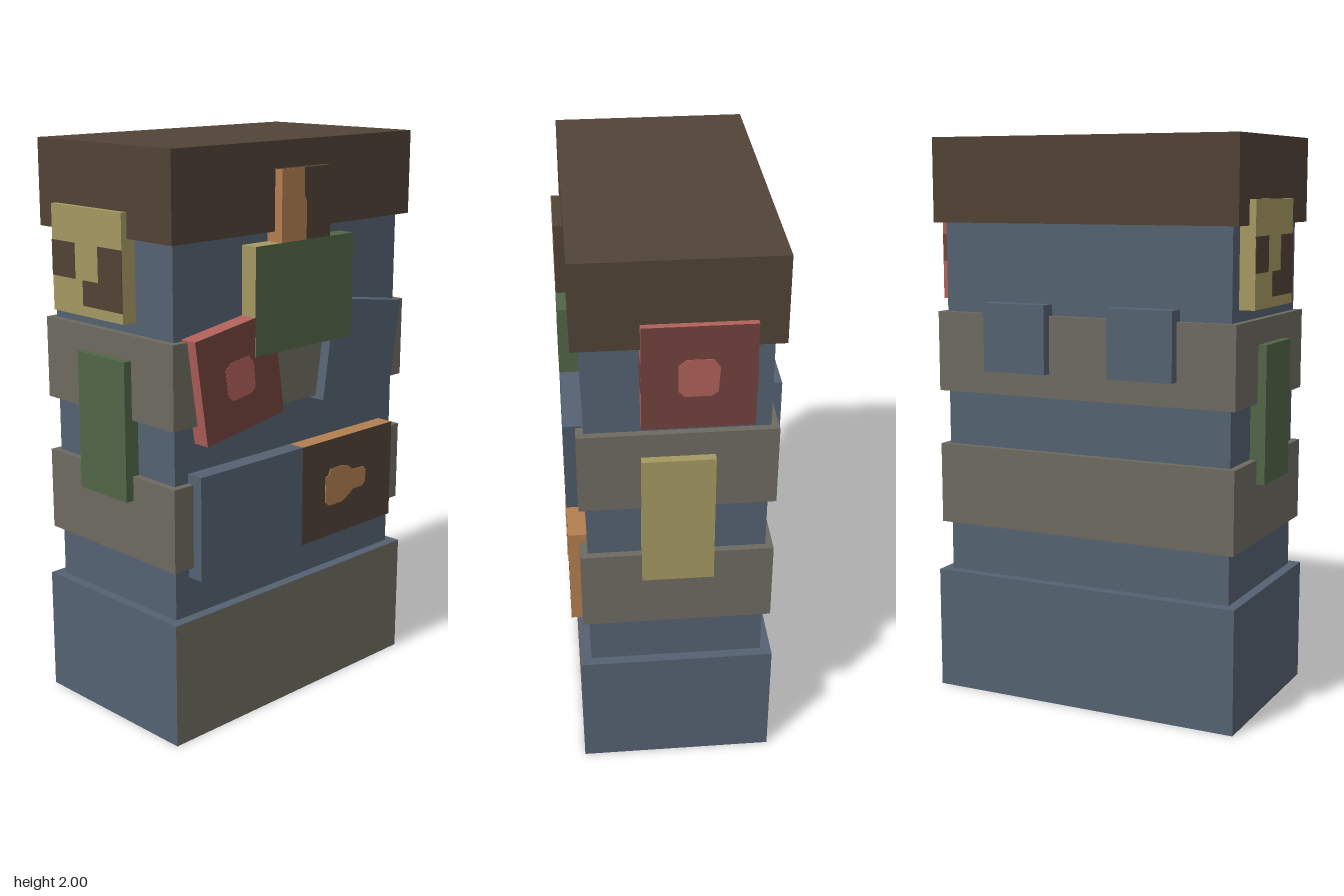
import * as THREE from 'three';

function paint(name, hex) {
  const m = new THREE.MeshStandardMaterial({ color: hex });
  m.name = name;
  return m;
}

export function createModel() {
  const model = new THREE.Group();
  model.name = 'boxTower';

  const blue = paint('slateBlue', 0x546171);
  const grey = paint('stoneGrey', 0x6d6a60);
  const brown = paint('darkBrown', 0x514336);
  const green = paint('mossGreen', 0x516546);
  const red = paint('darkRed', 0x72423c);
  const rose = paint('lightRed', 0xb06059);
  const orange = paint('orange', 0xb37e50);
  const yellow = paint('mustard', 0xa59861);

  // Box given by its limits; mat is one material or [+x, -x, +y, -y, +z, -z]
  function box(name, [x0, x1], [y0, y1], [z0, z1], mat, parent = model) {
    const mesh = new THREE.Mesh(new THREE.BoxGeometry(x1 - x0, y1 - y0, z1 - z0), mat);
    mesh.position.set((x0 + x1) / 2, (y0 + y1) / 2, (z0 + z1) / 2);
    mesh.name = name;
    parent.add(mesh);
    return mesh;
  }

  // Thin painted patch from an outline, facing +z
  function patch(name, points, mat, parent, z) {
    const shape = new THREE.Shape(points.map(([x, y]) => new THREE.Vector2(x, y)));
    const mesh = new THREE.Mesh(new THREE.ExtrudeGeometry(shape, { depth: 0.003, bevelEnabled: false }), mat);
    mesh.position.z = z;
    mesh.name = name;
    parent.add(mesh);
  }

  // Stacked body
  box('body', [-0.545, 0.545], [0.42, 1.72], [-0.3, 0.3], blue);
  box('base', [-0.58, 0.58], [0, 0.44], [-0.337, 0.337], [blue, blue, blue, brown, grey, blue]);
  box('cap', [-0.577, 0.577], [1.705, 2], [-0.333, 0.333], brown);
  box('lowerBand', [-0.57, 0.57], [0.62, 0.91], [-0.325, 0.325], grey);
  box('upperBand', [-0.57, 0.57], [1.105, 1.39], [-0.325, 0.325], grey);

  // Front plates
  const F = 0.363;
  const front = [0.28, F];
  box('lowerPlateBlue', [-0.487, 0], [0.58, 0.942], front, blue);
  box('lowerPlateBrown', [0, 0.483], [0.58, 0.942], front, [orange, orange, orange, orange, brown, brown]);
  patch('lowerPlatePatch', [
    [0.12, 0.71], [0.14, 0.695], [0.21, 0.695], [0.25, 0.715], [0.27, 0.73], [0.32, 0.73], [0.337, 0.745],
    [0.337, 0.79], [0.325, 0.803], [0.265, 0.805], [0.24, 0.825], [0.215, 0.832], [0.145, 0.832],
    [0.135, 0.81], [0.12, 0.805],
  ], orange, model, F);

  box('middlePlateLeft', [0, 0.24], [1.305, 1.67], [0.28, F + 0.001], green);
  box('middlePlateRight', [-0.24, 0], [1.305, 1.67], [0.28, F + 0.001],
    [yellow, yellow, yellow, yellow, green, green]);

  box('topPlate', [-0.12, 0.12], [1.66, 1.91], front, [brown, orange, brown, brown, brown, brown]);
  patch('topPlatePatch', [
    [-0.12, 1.67], [0, 1.67], [0, 1.795], [-0.012, 1.82], [-0.012, 1.91], [-0.12, 1.91],
  ], orange, model, F - 0.001);

  // Pair of tilted front plates
  const blob = [
    [-0.065, -0.045], [-0.045, -0.065], [0.04, -0.065], [0.06, -0.05],
    [0.065, 0.035], [0.045, 0.065], [-0.04, 0.065], [-0.065, 0.045],
  ];
  const redFaces = [rose, rose, rose, rose, red, red];
  for (const side of [-1, 1]) {
    const tilted = new THREE.Group();
    tilted.name = side < 0 ? 'tiltedPlateRight' : 'tiltedPlateLeft';
    tilted.position.set(side * 0.305, 1.245, 0);
    tilted.rotation.z = -side * 0.15;
    box('plate', [-0.18, 0.18], [-0.18, 0.18], front, side < 0 ? redFaces : blue, tilted);
    if (side < 0) patch('platePatch', blob, rose, tilted, F - 0.002);
    model.add(tilted);
  }

  // Left side: red plate with patch, and tall plate
  const left = new THREE.Group();
  left.name = 'leftPlates';
  left.rotation.y = Math.PI / 2; // local x = -z, local z = x
  model.add(left);
  const sideDepth = [0.53, 0.6];
  box('redPlate', [-0.12, 0.24], [1.43, 1.79], sideDepth, redFaces, left);
  const spot = new THREE.Group();
  spot.name = 'redPlateSpot';
  spot.position.set(0.06, 1.61, 0);
  left.add(spot);
  patch('redPlatePatch', blob, rose, spot, 0.599);
  for (const x of [-0.12, 0.24]) {
    box('redPlateEdgeStripe', [x - 0.002, x + 0.002], [1.565, 1.66], [0.54, 0.599], red, left);
  }
  box('tallYellowPlate', [-0.12, 0.12], [0.825, 1.305], sideDepth, yellow, left);

  // Right side: spotted yellow plate and tall green plate
  const right = new THREE.Group();
  right.name = 'rightPlates';
  right.rotation.y = -Math.PI / 2; // local x = z, local z = -x
  model.add(right);
  box('yellowPlate', [-0.24, 0.12], [1.43, 1.79], sideDepth, yellow, right);
  patch('rearPatch', [[-0.24, 1.55], [-0.12, 1.55], [-0.12, 1.67], [-0.24, 1.67]], brown, right, 0.599);
  patch('frontPatch', [
    [-0.08, 1.465], [0.12, 1.465], [0.12, 1.67], [0, 1.67], [0, 1.55], [-0.08, 1.55],
  ], brown, right, 0.599);
  box('tallGreenPlate', [-0.12, 0.12], [0.825, 1.305], sideDepth, green, right);

  // Back plates
  for (const x of [-0.24, 0.24]) {
    box('backPlate', [x - 0.12, x + 0.12], [1.19, 1.43], [-0.363, -0.28], blue);
  }

  return model;
}
